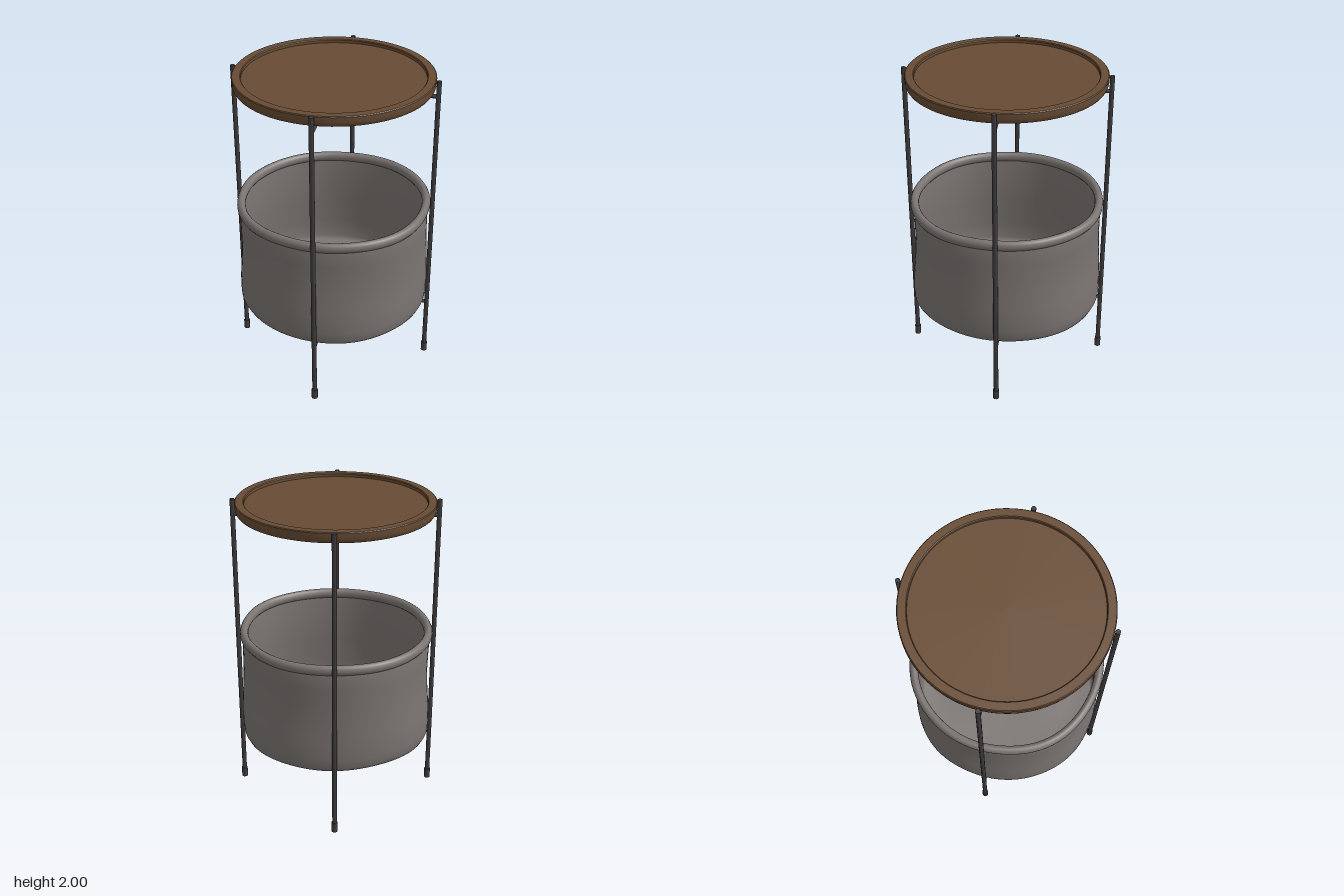
import * as THREE from 'three';
import { mergeVertices, toCreasedNormals } from 'three/addons/utils/BufferGeometryUtils.js';

const material = (name, color) => {
  const m = new THREE.MeshStandardMaterial({ color });
  m.name = name;
  return m;
};

const LEG = 0.448; // leg offset along x and z

function part(parent, name, geometry, mat, x = 0, y = 0, z = 0) {
  const mesh = new THREE.Mesh(geometry, mat);
  mesh.name = name;
  mesh.position.set(x, y, z);
  parent.add(mesh);
  return mesh;
}

const points = (list) => list.map(([r, y]) => new THREE.Vector2(r, y));

// Round tray with a raised rim and a softened lower edge
function trayGeometry() {
  const profile = points([
    [0, 1.93], [0.59, 1.93], [0.605, 1.935], [0.613, 1.947], [0.617, 1.965],
    [0.617, 1.995], [0.612, 2], [0.565, 2], [0.56, 1.995], [0.56, 1.977], [0, 1.977],
  ]);
  return toCreasedNormals(new THREE.LatheGeometry(profile, 72), 0.6);
}

// Soft fabric: pulled in at the four legs, bulging and rippling between them
function soften(geometry) {
  const p = geometry.attributes.position;
  for (let i = 0; i < p.count; i++) {
    const x = p.getX(i), y = p.getY(i), z = p.getZ(i);
    const a = Math.atan2(x, z), r = Math.hypot(x, z);
    const low = 1 - THREE.MathUtils.smoothstep(y, 0.45, 0.8);
    const edge = THREE.MathUtils.smoothstep(r, 0.35, 0.6);
    const ripple = 0.004 * Math.sin(3 * a + 7 * y) + 0.003 * Math.sin(7 * a - 5 * y);
    const k = 1 + edge * ((0.008 + 0.006 * low) * Math.cos(4 * a) + ripple);
    const lift = edge * low * (0.008 * Math.cos(4 * a) + 0.004 * Math.sin(3 * a));
    p.setXYZ(i, x * k, y + lift, z * k);
  }
  geometry.deleteAttribute('normal');
  geometry.deleteAttribute('uv');
  const merged = mergeVertices(geometry, 1e-4);
  merged.computeVertexNormals();
  return merged;
}

function basketGeometry() {
  const outer = [
    [0, 0.437], [0.35, 0.437], [0.5, 0.432], [0.58, 0.428], [0.612, 0.437], [0.626, 0.465],
    [0.629, 0.52], [0.627, 0.6], [0.62, 0.68], [0.612, 0.77], [0.607, 0.88], [0.607, 1], [0.609, 1.12],
  ];
  const inner = [
    [0.588, 1.12], [0.587, 0.9], [0.592, 0.77], [0.606, 0.6], [0.606, 0.48], [0.585, 0.455], [0.4, 0.452], [0, 0.452],
  ];
  return soften(new THREE.LatheGeometry(points([...outer, ...inner]), 96));
}

// Rolled hem at the basket mouth
function hemGeometry() {
  const profile = [];
  for (let i = 0; i <= 14; i++) {
    const t = (i / 14) * Math.PI * 2;
    profile.push([0.597 + 0.027 * Math.cos(t), 1.131 + 0.033 * Math.sin(t)]);
  }
  return soften(new THREE.LatheGeometry(points(profile), 96));
}

export function createModel() {
  const wood = material('brown wood', 0x684c34);
  const fabric = material('grey fabric', 0x7a7471);
  const metal = material('dark metal', 0x403c3e);

  const model = new THREE.Group();
  model.name = 'basketSideTable';

  part(model, 'trayTop', trayGeometry(), wood);

  const basket = new THREE.Group();
  basket.name = 'basket';
  model.add(basket);
  part(basket, 'basketBody', basketGeometry(), fabric);
  part(basket, 'basketHem', hemGeometry(), fabric);

  // Four legs with foot caps
  const legGeo = new THREE.CylinderGeometry(0.015, 0.015, 1.98, 12);
  const footGeo = toCreasedNormals(new THREE.CylinderGeometry(0.02, 0.02, 0.066, 12), 0.7);
  for (const sx of [-1, 1]) for (const sz of [-1, 1]) {
    const leg = new THREE.Group();
    leg.name = 'leg';
    leg.position.set(sx * LEG, 0, sz * LEG);
    model.add(leg);
    part(leg, 'legRod', legGeo, metal, 0, 1.01, 0);
    part(leg, 'footCap', footGeo, metal, 0, 0.033, 0);
  }

  // Support rings with arms reaching out to the legs
  const ringRadius = 0.335, reach = Math.SQRT2 * LEG;
  const ringGeo = new THREE.TorusGeometry(ringRadius, 0.014, 10, 40).rotateX(Math.PI / 2);
  const armGeo = new THREE.CylinderGeometry(0.013, 0.013, reach - ringRadius, 10)
    .rotateZ(Math.PI / 2).translate((reach + ringRadius) / 2, 0, 0);
  for (const [name, y] of [['upperSupport', 1.902], ['lowerSupport', 0.408]]) {
    const support = new THREE.Group();
    support.name = name;
    support.position.y = y;
    model.add(support);
    part(support, 'supportRing', ringGeo, metal);
    for (let i = 0; i < 4; i++) {
      part(support, 'supportArm', armGeo, metal).rotation.y = Math.PI / 4 + i * Math.PI / 2;
    }
  }
  return model;
}
